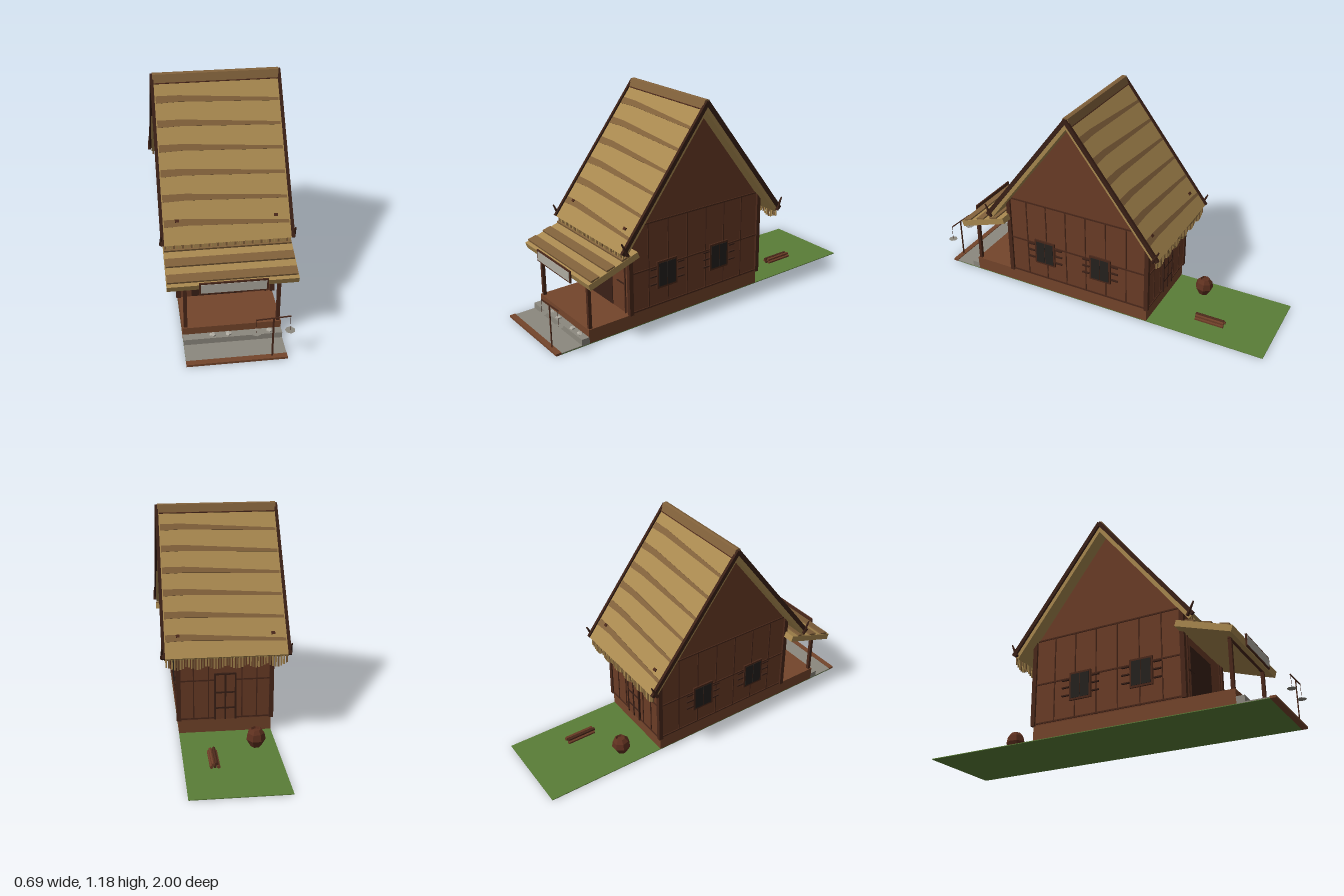
import * as THREE from 'three';

const mats = {};
const mat = (color) => (mats[color] ??= new THREE.MeshStandardMaterial({ color, flatShading: true, side: THREE.DoubleSide }));
const C = {
  thatch: 0xa8884f, thatchDark: 0x80603a, wall: 0x6b3c26, wood: 0x4a281a, dark: 0x3a2016, plinth: 0x74452b,
  black: 0x25211e, stone: 0x8c887e, pale: 0xaeaaa0, green: 0x5a7d37,
};

function add(parent, name, geo, color, x = 0, y = 0, z = 0) {
  const m = new THREE.Mesh(geo, mat(color));
  m.name = name;
  m.position.set(x, y, z);
  parent.add(m);
  return m;
}
const box = (parent, name, color, w, h, d, x, y, z) => add(parent, name, new THREE.BoxGeometry(w, h, d), color, x, y, z);

// Extrudes a [z, y] outline across x, centred on x = 0
function acrossX(points, width) {
  const shape = new THREE.Shape(points.map(([z, y]) => new THREE.Vector2(z, y)));
  return new THREE.ExtrudeGeometry(shape, { depth: width, bevelEnabled: false }).translate(0, 0, -width / 2).rotateY(-Math.PI / 2);
}

function group(parent, name) {
  const g = new THREE.Group();
  g.name = name;
  parent.add(g);
  return g;
}

const RZ = 0.11, RY = 1.165, RUN = 0.53, DROP = 0.69; // ridge position, slope run and drop
const ANGLE = Math.atan2(DROP, RUN), LEN = Math.hypot(RUN, DROP);

function buildGround(root) {
  const g = group(root, 'ground');
  box(g, 'grass', C.green, 0.5, 0.004, 1.96, 0, 0.002, -0.02);
  box(g, 'paving', C.stone, 0.5, 0.006, 0.16, 0, 0.005, 0.88);
  box(g, 'frontKerb', C.plinth, 0.5, 0.012, 0.03, 0, 0.006, 0.975);
  box(g, 'step', C.stone, 0.5, 0.035, 0.045, 0, 0.0225, 0.82);
  box(g, 'platform', C.plinth, 0.5, 0.076, 1.125, 0, 0.042, 0.2375);
  // Flat stones lying on the step
  [-0.1, -0.02, 0.12, 0.19].forEach((x, i) => {
    const s = add(g, 'flatStone', new THREE.DodecahedronGeometry(0.018, 0), C.pale, x, 0.043, 0.82);
    s.scale.set(1, 0.45, 0.9);
    s.rotation.y = i;
  });
}

function buildWalls(root) {
  const g = group(root, 'house');
  add(g, 'walls', acrossX([[-0.33, 0.08], [0.55, 0.08], [0.55, 0.565], [RZ, 1.12], [-0.33, 0.565]], 0.5), C.wall);
  for (const s of [-1, 1]) {
    for (const z of [-0.325, 0.545]) box(g, 'cornerPost', C.wood, 0.024, 0.48, 0.024, s * 0.25, 0.32, z);
    for (const y of [0.09, 0.31, 0.567]) box(g, 'sideRail', C.wood, 0.006, 0.008, 0.87, s * 0.252, y, 0.11);
    for (let i = 0; i < 6; i++) box(g, 'sideBatten', C.wood, 0.004, 0.48, 0.006, s * 0.252, 0.325, 0.43 - i * 0.126);
    // Shuttered windows with short rails either side
    for (const z of [0.315, -0.04]) {
      const w = group(g, 'window');
      box(w, 'frame', C.wood, 0.012, 0.155, 0.13, s * 0.253, 0.26, z);
      for (const k of [-1, 1]) {
        box(w, 'shutter', C.black, 0.012, 0.133, 0.052, s * 0.255, 0.26, z + k * 0.028);
        for (const y of [0.215, 0.26, 0.302]) box(w, 'shortRail', C.dark, 0.014, 0.007, 0.042, s * 0.254, y, z + k * 0.09);
      }
    }
  }
  // Back wall with its door
  for (const x of [-0.17, -0.09, 0.09, 0.17]) box(g, 'backBatten', C.wood, 0.006, 0.45, 0.004, x, 0.31, -0.332);
  for (const y of [0.09, 0.31]) box(g, 'backRail', C.wood, 0.49, 0.008, 0.005, 0, y, -0.332);
  const d = group(g, 'backDoor');
  box(d, 'doorPanel', C.wall, 0.11, 0.26, 0.008, 0, 0.215, -0.333);
  for (const x of [-0.055, 0, 0.055]) box(d, 'doorStile', C.dark, 0.009, 0.265, 0.012, x, 0.215, -0.335);
  for (const y of [0.15, 0.24, 0.345]) box(d, 'doorRail', C.dark, 0.115, 0.009, 0.012, 0, y, -0.335);
  // Front wall with a dark entrance
  box(g, 'entrance', C.dark, 0.27, 0.3, 0.006, -0.045, 0.232, 0.55);
  for (const s of [-1, 1]) {
    box(g, 'frontJamb', C.wood, 0.008, 0.36, 0.008, s * 0.213, 0.26, 0.552);
    box(g, 'frontRail', C.dark, 0.07, 0.005, 0.01, s * 0.175, 0.245, 0.552);
  }
}

function buildRoof(root) {
  const g = group(root, 'roof');
  // Thick thatch in an inverted V
  const e = 0.028, t = 0.055;
  add(g, 'thatch', acrossX([
    [RZ, RY], [RZ + RUN, RY - DROP], [RZ + RUN - e, RY - DROP - 0.02], [RZ, RY - t],
    [RZ - RUN + e, RY - DROP - 0.02], [RZ - RUN, RY - DROP]], 0.65), C.thatch);
  const cap = acrossX([[RZ, 1.176], [RZ + 0.014, 1.172], [RZ + 0.03, 1.132], [RZ, 1.16], [RZ - 0.03, 1.132], [RZ - 0.014, 1.172]], 0.652);
  add(g, 'ridgeCap', cap, C.thatchDark);

  for (const side of [1, -1]) {
    // Local +z runs down the slope, local +y points out of it
    const slope = group(g, side > 0 ? 'frontSlope' : 'backSlope');
    slope.position.set(0, RY, RZ);
    slope.rotation.order = 'YXZ';
    slope.rotation.set(ANGLE, side > 0 ? 0 : Math.PI, 0);
    // Slanting, tapering shaded bands in the thatch
    const band = new THREE.Shape([[-0.315, 0.018], [-0.2, 0.018], [0.315, -0.018], [0.315, -0.034], [-0.2, -0.016], [-0.315, -0.02]]
      .map((p) => new THREE.Vector2(...p)));
    for (let i = 0; i < 6; i++) {
      const b = new THREE.ExtrudeGeometry(band, { depth: 0.003, bevelEnabled: false }).rotateX(-Math.PI / 2);
      add(slope, 'thatchBand', b, C.thatchDark, 0, 0, 0.13 + i * 0.126);
    }
    box(slope, 'topPole', C.wood, 0.64, 0.005, 0.005, 0, 0.002, 0.047);
    for (const s of [-1, 1]) {
      box(slope, 'bargeBoard', C.dark, 0.016, 0.022, LEN, s * 0.329, -0.002, LEN / 2);
      box(slope, 'thatchTie', C.wood, 0.02, 0.008, 0.015, s * 0.25, 0.003, 0.75);
      // Horn-shaped eave finial leaning outward
      const horn = new THREE.CylinderGeometry(0.004, 0.01, 0.08, 5);
      const h = add(g, 'eaveFinial', horn, C.dark, s * 0.336, 0.503, RZ + side * 0.52);
      h.rotation.x = side * 0.45;
    }
    // Ragged fringe hanging from the eave
    for (let i = 0; i < 44; i++) {
      const len = side > 0 ? 0.025 : 0.04 + 0.022 * Math.abs(Math.sin(i * 2.7));
      box(g, 'fringe', i % 3 ? C.thatch : C.thatchDark, 0.009, len, 0.005, -0.315 + i * 0.01465, 0.467 - len / 2, RZ + side * 0.517);
    }
  }
}

function buildPorch(root) {
  const g = group(root, 'porch');
  const roof = group(g, 'porchRoof');
  roof.position.set(0, 0.465, 0.545);
  roof.rotation.x = 0.32;
  box(roof, 'porchThatch', C.thatch, 0.65, 0.034, 0.305, 0, -0.017, 0.1525);
  for (let i = 0; i < 3; i++) {
    const b = box(roof, 'porchBand', C.thatchDark, 0.645, 0.012, 0.05, 0, 0.003, 0.07 + i * 0.095);
    b.rotation.x = -0.06;
  }
  for (const s of [-1, 1]) box(g, 'porchPost', C.wood, 0.018, 0.29, 0.018, s * 0.235, 0.225, 0.785);
  box(g, 'porchBeam', C.wood, 0.5, 0.014, 0.014, 0, 0.35, 0.785);
  // Blank sign board
  box(g, 'signFrame', C.wood, 0.34, 0.065, 0.008, 0, 0.355, 0.843);
  box(g, 'signPanel', C.pale, 0.322, 0.05, 0.008, 0, 0.355, 0.845);
}

function buildYard(root) {
  // Balance scale by the front kerb
  const s = group(root, 'balanceScale');
  box(s, 'scalePole', C.wood, 0.009, 0.24, 0.004, 0.175, 0.126, 0.972);
  box(s, 'scaleBeam', C.wood, 0.17, 0.005, 0.005, 0.175, 0.246, 0.97).rotation.z = 0.05;
  for (const x of [0.092, 0.258]) {
    add(s, 'scalePan', new THREE.CylinderGeometry(0.026, 0.018, 0.004, 7), C.stone, x, 0.164, 0.972);
    box(s, 'panCord', C.dark, 0.0015, 0.08, 0.0015, x, 0.205, 0.972);
  }
  // Clay jar
  const profile = [[0, 0], [0.028, 0], [0.052, 0.045], [0.044, 0.08], [0.026, 0.1], [0.022, 0.088], [0, 0.088]];
  const jar = new THREE.LatheGeometry(profile.map((p) => new THREE.Vector2(...p)), 7);
  add(root, 'jar', jar, 0x5e301f, -0.14, 0.006, -0.51).rotation.x = -0.05;
  // Pile of logs
  const logs = group(root, 'logPile');
  for (let i = 0; i < 5; i++) {
    const top = i > 2;
    const log = new THREE.CylinderGeometry(0.009, 0.009, 0.165, 6).rotateX(Math.PI / 2);
    add(logs, 'log', log, i % 2 ? C.wood : C.wall, 0.078 + (top ? (i - 2.5) * 0.018 : i * 0.018), top ? 0.027 : 0.013, -0.645 + (i % 2) * 0.006);
  }
}

export function createModel() {
  const root = new THREE.Group();
  root.name = 'thatchedHouse';
  buildGround(root);
  buildWalls(root);
  buildRoof(root);
  buildPorch(root);
  buildYard(root);
  return root;
}
